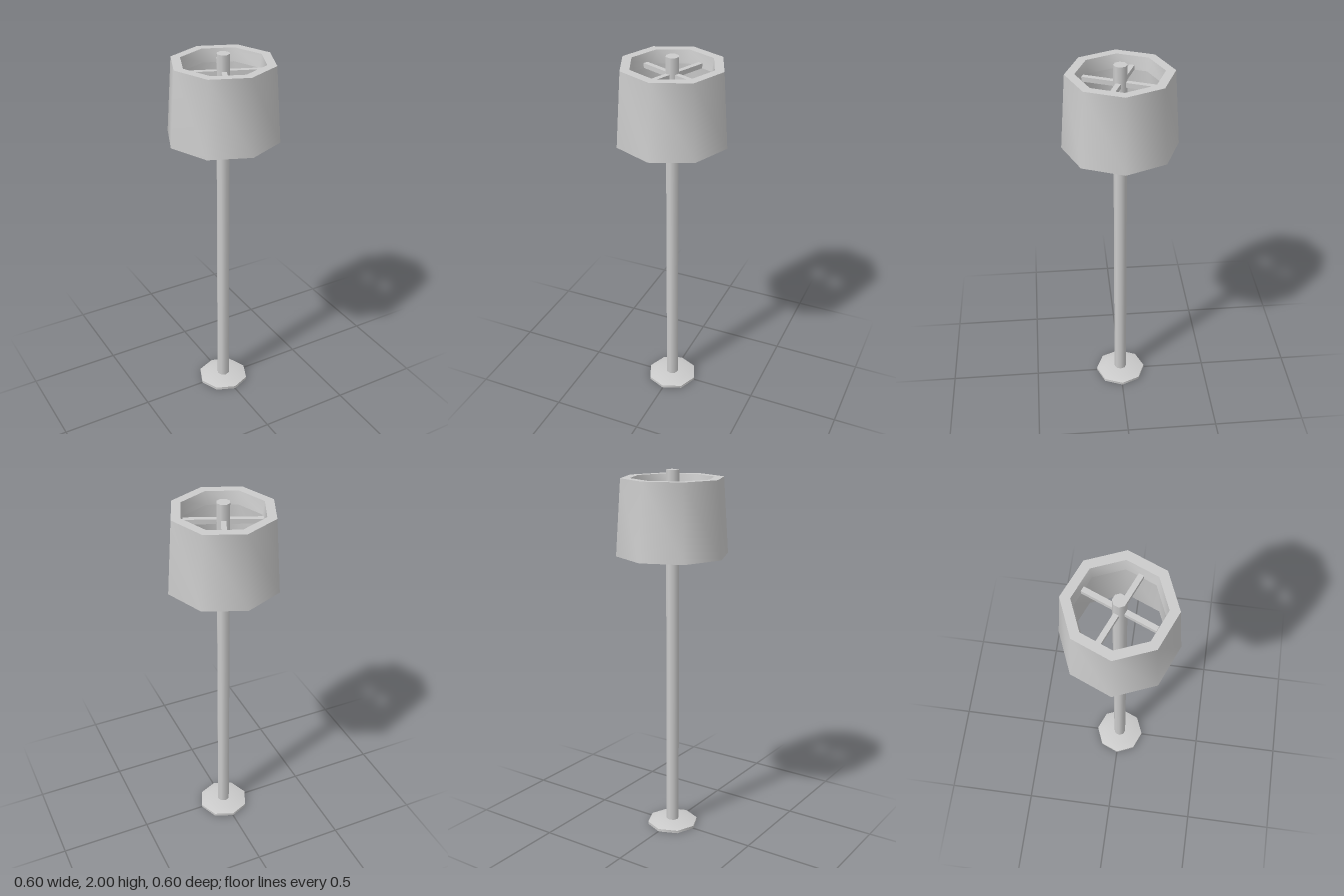
import * as THREE from 'three';
import { toCreasedNormals } from 'three/addons/utils/BufferGeometryUtils.js';

const SIDES = 8;
const material = new THREE.MeshStandardMaterial({ color: 0xcccccc });

// Octagonal lathe, smooth around the sides and sharp at the rims
function turned(name, profile) {
  const points = profile.map(([r, y]) => new THREE.Vector2(r, y));
  const geometry = toCreasedNormals(new THREE.LatheGeometry(points, SIDES), THREE.MathUtils.degToRad(55));
  const mesh = new THREE.Mesh(geometry, material);
  mesh.name = name;
  return mesh;
}

export function createModel() {
  const lamp = new THREE.Group();
  lamp.name = 'floorLamp';

  // Low foot with a gently domed top
  lamp.add(turned('base', [[0, 0], [0.142, 0], [0.142, 0.015], [0.1, 0.026], [0, 0.03]]));

  // Pole running the full height
  const poleRadius = 0.035;
  const pole = new THREE.Mesh(new THREE.CylinderGeometry(poleRadius, poleRadius, 1.98, SIDES), material);
  pole.name = 'pole';
  pole.position.y = 1.01;
  lamp.add(pole);

  // Thick tapered shade with a narrowing lip inside the top opening
  lamp.add(turned('shade', [
    [0.3, 1.56], [0.272, 1.96], [0.222, 1.96], [0.21, 1.89],
    [0.222, 1.89], [0.243, 1.56], [0.3, 1.56],
  ]));

  // Four spokes from alternate pole faces to the lip
  const apothem = Math.cos(Math.PI / SIDES);
  const inner = poleRadius * apothem - 0.003;
  const outer = 0.212 * apothem;
  const spokeGeometry = new THREE.BoxGeometry(outer - inner, 0.025, 0.0268);
  spokeGeometry.translate((inner + outer) / 2, 1.9025, 0);
  const spokes = new THREE.Group();
  spokes.name = 'shadeSupport';
  for (let i = 0; i < 4; i++) {
    const spoke = new THREE.Mesh(spokeGeometry, material);
    spoke.name = 'spoke';
    spoke.rotation.y = -Math.PI / SIDES + i * Math.PI / 2;
    spokes.add(spoke);
  }
  lamp.add(spokes);

  return lamp;
}
